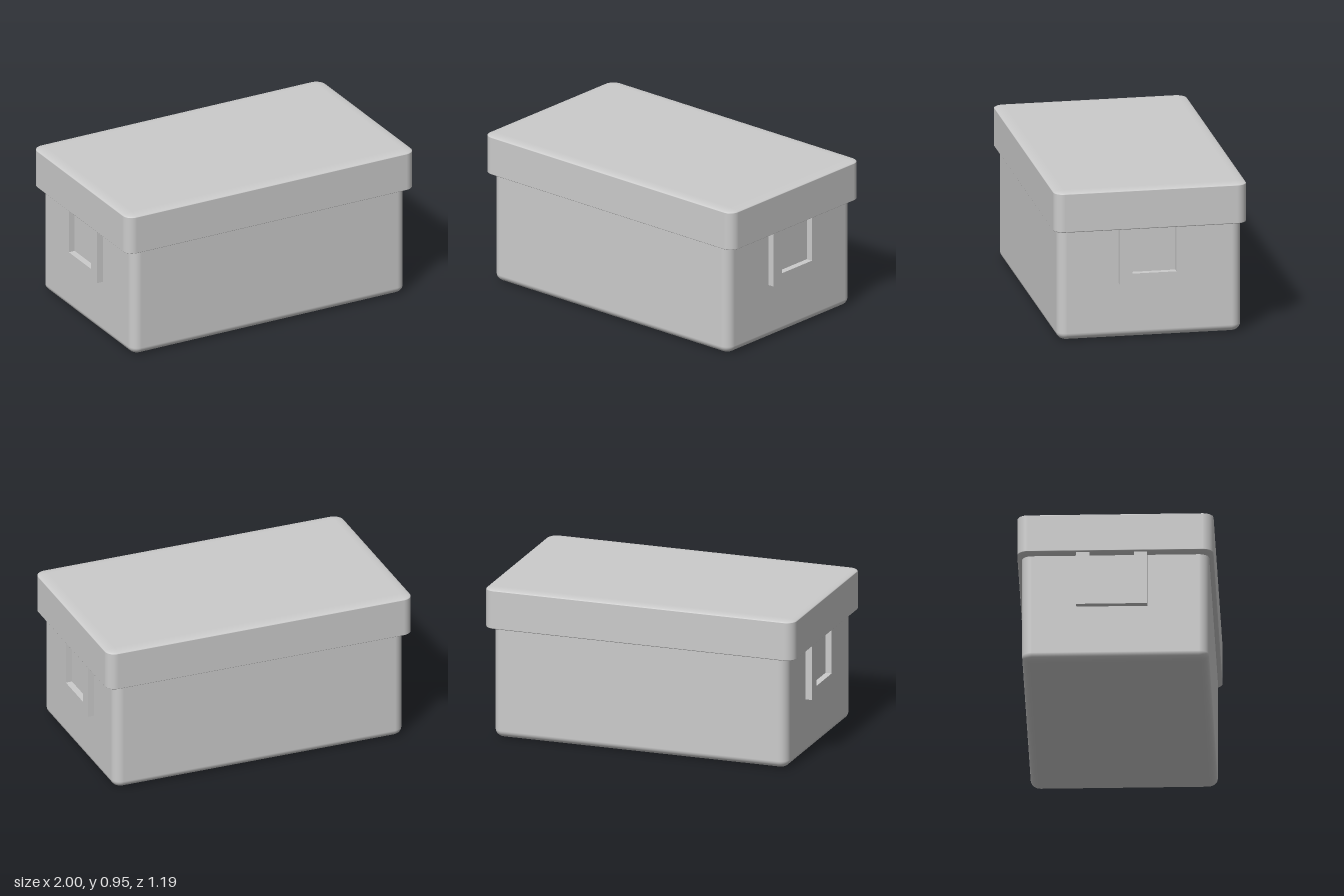
import * as THREE from 'three';
import { RoundedBoxGeometry } from 'three/addons/geometries/RoundedBoxGeometry.js';

const material = new THREE.MeshStandardMaterial({ color: 0xcccccc });

// Rounded box between two heights; edge rounding is squashed vertically by `squash`.
function roundedBlock(name, width, depth, y0, y1, radius, squash) {
  const geometry = new RoundedBoxGeometry(width, (y1 - y0) / squash, depth, 6, radius);
  geometry.scale(1, squash, 1);
  geometry.translate(0, (y0 + y1) / 2, 0);
  const mesh = new THREE.Mesh(geometry, material);
  mesh.name = name;
  return mesh;
}

// U-shaped carrying handle, drawn in (z, y) and standing out from the end wall.
function handle(name, side) {
  const points = [
    [-0.237, 0.35], [0.193, 0.35], [0.193, 0.72], [0.115, 0.72],
    [0.115, 0.415], [-0.157, 0.415], [-0.157, 0.72], [-0.237, 0.72],
  ].map(([z, y]) => new THREE.Vector2(-z, y));
  const depth = 0.06;
  const geometry = new THREE.ExtrudeGeometry(new THREE.Shape(points), { depth, bevelEnabled: false });
  geometry.rotateY(Math.PI / 2); // shape x -> -z, extrusion -> +x
  geometry.translate(side > 0 ? 0.988 - depth : -0.988, 0, 0);
  const mesh = new THREE.Mesh(geometry, material);
  mesh.name = name;
  return mesh;
}

export function createModel() {
  const group = new THREE.Group();
  group.name = 'storageBox';
  group.add(
    roundedBlock('body', 1.896, 1.134, 0, 0.78, 0.06, 0.78),
    roundedBlock('lid', 2, 1.19, 0.69, 0.95, 0.065, 0.2),
    handle('leftHandle', 1),
    handle('rightHandle', -1),
  );
  return group;
}
